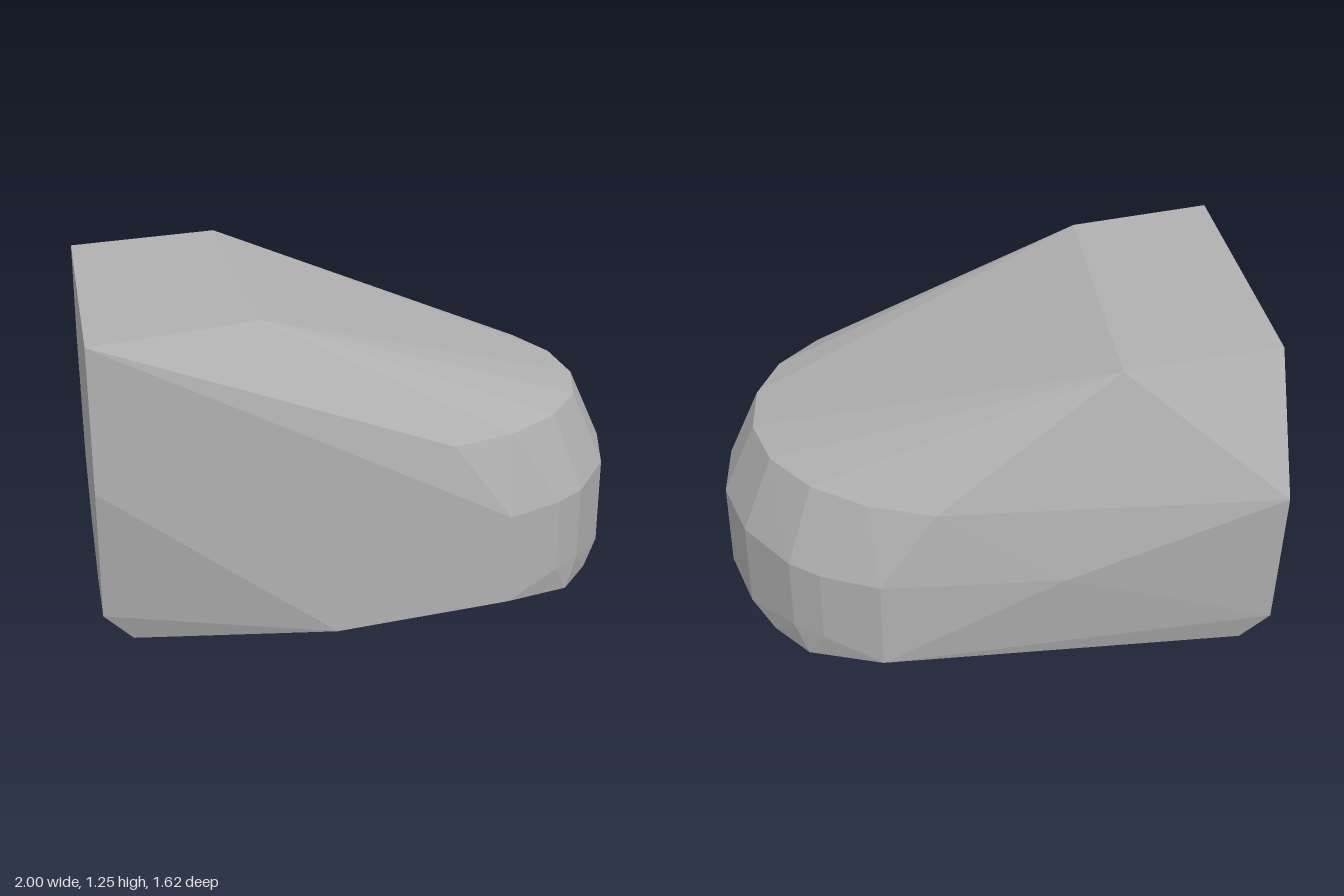
import * as THREE from 'three';
import { ConvexGeometry } from 'three/addons/geometries/ConvexGeometry.js';

export function createModel() {
  const group = new THREE.Group();
  group.name = 'facetedBlock';
  const grey = new THREE.MeshStandardMaterial({ color: 0xb0b0b0 });
  grey.name = 'grey';

  const points = [];
  const add = (x, y, z) => points.push(new THREE.Vector3(x, y, z));
  const pair = (x, y, z) => { add(x, y, z); add(x, y, -z); };

  // flat roof
  add(-1, 1.25, 0.8);
  add(-1, 1.25, -0.5);
  pair(-0.42, 1.25, 0.63);

  // flat end wall and its chamfered lower corners
  add(-1, 0.75, 0.8);
  add(-1, 0.8, -0.77);
  pair(-1, 0.26, 0.725);
  add(-1, 0.155, 0.24);
  add(-1, 0.155, -0.32);
  pair(-0.9, 0.15, 0.7);

  // side walls
  add(-0.2, 0.15, 0.805);
  add(-0.23, 0.53, -0.81);

  // rounded nose: upper rim, then upright band
  for (const [x, z] of [[0.22, 0.775], [0.45, 0.7], [0.65, 0.56], [0.8, 0.36], [0.875, 0.13]]) pair(x, 0.8, z);
  for (const [x, z, low] of [[0.42, 0.81, 0.2], [0.63, 0.72, 0.26], [0.74, 0.64, 0.26], [0.91, 0.41, 0.205], [1, 0.14, 0.205]]) {
    pair(x, 0.53, z);
    pair(x, low, z);
  }
  pair(0.69, 0.15, 0.67);
  pair(0.82, 0.15, 0.52);

  // round flat base
  const sides = 14;
  for (let i = 0; i < sides; i++) {
    const a = (i / sides) * Math.PI * 2;
    add(0.11 + 0.37 * Math.cos(a), 0, 0.38 * Math.sin(a));
  }

  const body = new THREE.Mesh(new ConvexGeometry(points), grey);
  body.name = 'body';
  group.add(body);
  return group;
}
